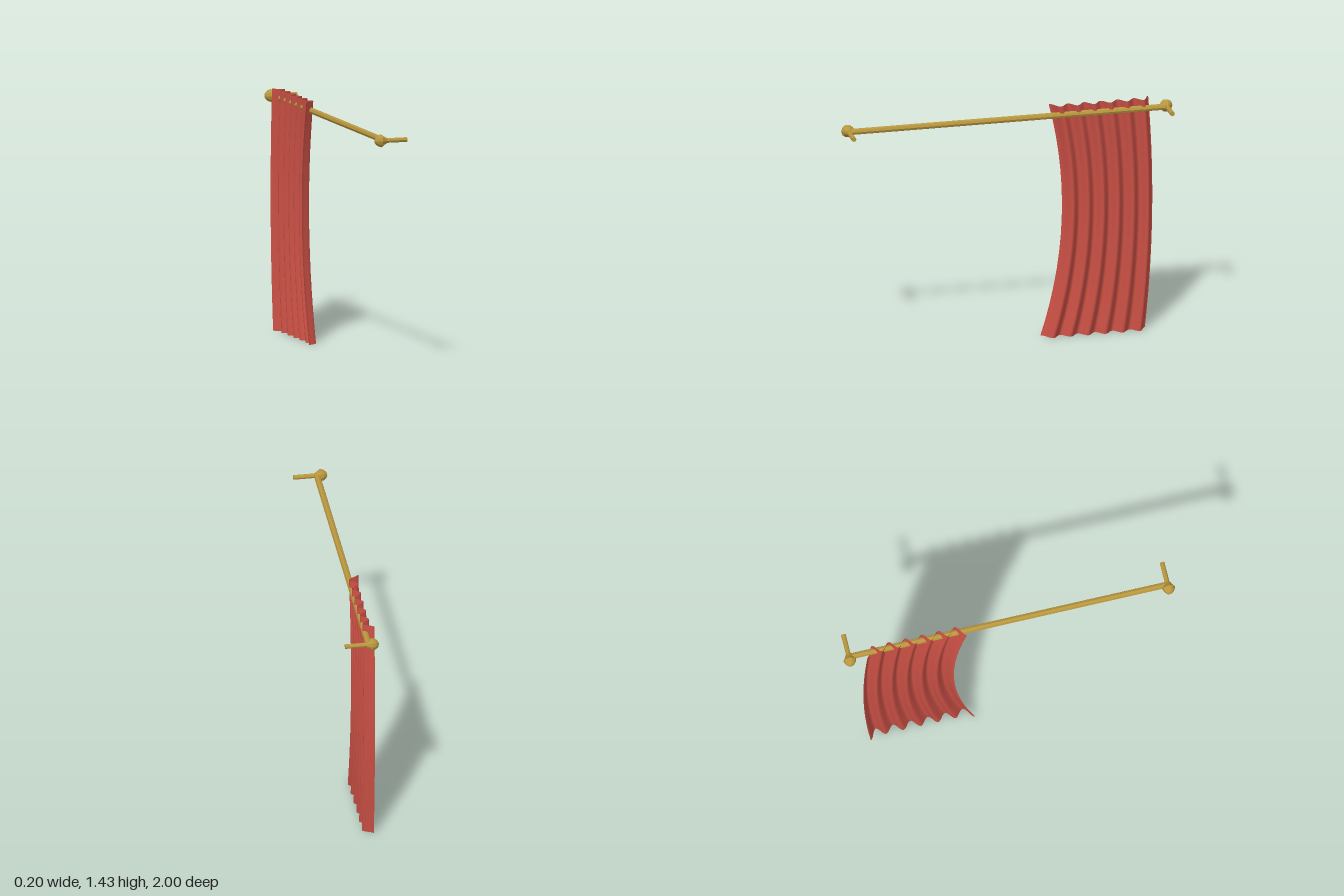
import * as THREE from 'three';

const brass = new THREE.MeshStandardMaterial({ color: 0xb8963e });
brass.name = 'brass';
const redCloth = new THREE.MeshStandardMaterial({ color: 0xc84f44, side: THREE.DoubleSide });
redCloth.name = 'red cloth';

const ROD_Y = 1.373, END_Z = 0.96, TOP = 1.43;

// Faceted brass part
function brassPart(name, geometry) {
  const flat = geometry.toNonIndexed();
  flat.computeVertexNormals();
  const mesh = new THREE.Mesh(flat, brass);
  mesh.name = name;
  return mesh;
}

// Wall pin and pointed-back knob at one rod end, both along x
function makeBracket(z) {
  const group = new THREE.Group();
  group.name = z > 0 ? 'frontBracket' : 'backBracket';
  const pin = brassPart('wallPin', new THREE.CylinderGeometry(0.014, 0.014, 0.16, 8).rotateZ(-Math.PI / 2));
  pin.position.x = 0.02;
  const profile = [[0, -0.102], [0.018, -0.095], [0.033, -0.078], [0.039, -0.06], [0.026, -0.043], [0.016, -0.026], [0, -0.026]]
    .map(([r, x]) => new THREE.Vector2(r, x));
  const knob = brassPart('finial', new THREE.LatheGeometry(profile, 10).rotateZ(-Math.PI / 2));
  group.add(pin, knob);
  group.position.set(0, ROD_Y, z);
  return group;
}

// Pleat depth at t (0 = front edge, 1 = back edge): six crests with raised free edges
function pleatX(t) {
  const first = 0.1, last = 0.93, crest = -0.026;
  if (t < first) return crest - 0.064 * (1 - Math.cos(Math.PI * (1 - t / first))) / 2 * 1;
  if (t > last) return crest - 0.064 * (1 - Math.cos(Math.PI * (t - last) / (1 - last))) / 2;
  const phase = (t - first) / (last - first) * 5 * Math.PI * 2;
  return crest - 0.046 * (1 - Math.cos(phase)) / 2;
}

// Cloth gathered at the waist: both edges follow a parabola in height
function makeCurtain() {
  const cols = 90, rows = 14;
  const geometry = new THREE.PlaneGeometry(1, 1, cols, rows);
  const pos = geometry.attributes.position;
  for (let i = 0; i < pos.count; i++) {
    const t = pos.getX(i) + 0.5;
    const y = (pos.getY(i) + 0.5) * TOP;
    const front = -0.21 - 0.1625 * y + 0.2024 * y * (y - 0.8);
    const back = -0.84 - 0.0563 * y + 0.0671 * y * (y - 0.8);
    pos.setXYZ(i, pleatX(t), y, front + (back - front) * t);
  }
  geometry.computeVertexNormals();
  const mesh = new THREE.Mesh(geometry, redCloth);
  mesh.name = 'curtain';
  return mesh;
}

export function createModel() {
  const model = new THREE.Group();
  model.name = 'curtainOnRod';
  const rod = brassPart('rod', new THREE.CylinderGeometry(0.019, 0.019, END_Z * 2, 8).rotateX(Math.PI / 2));
  rod.position.set(-0.04, ROD_Y, 0);
  model.add(rod, makeBracket(END_Z), makeBracket(-END_Z), makeCurtain());
  return model;
}
